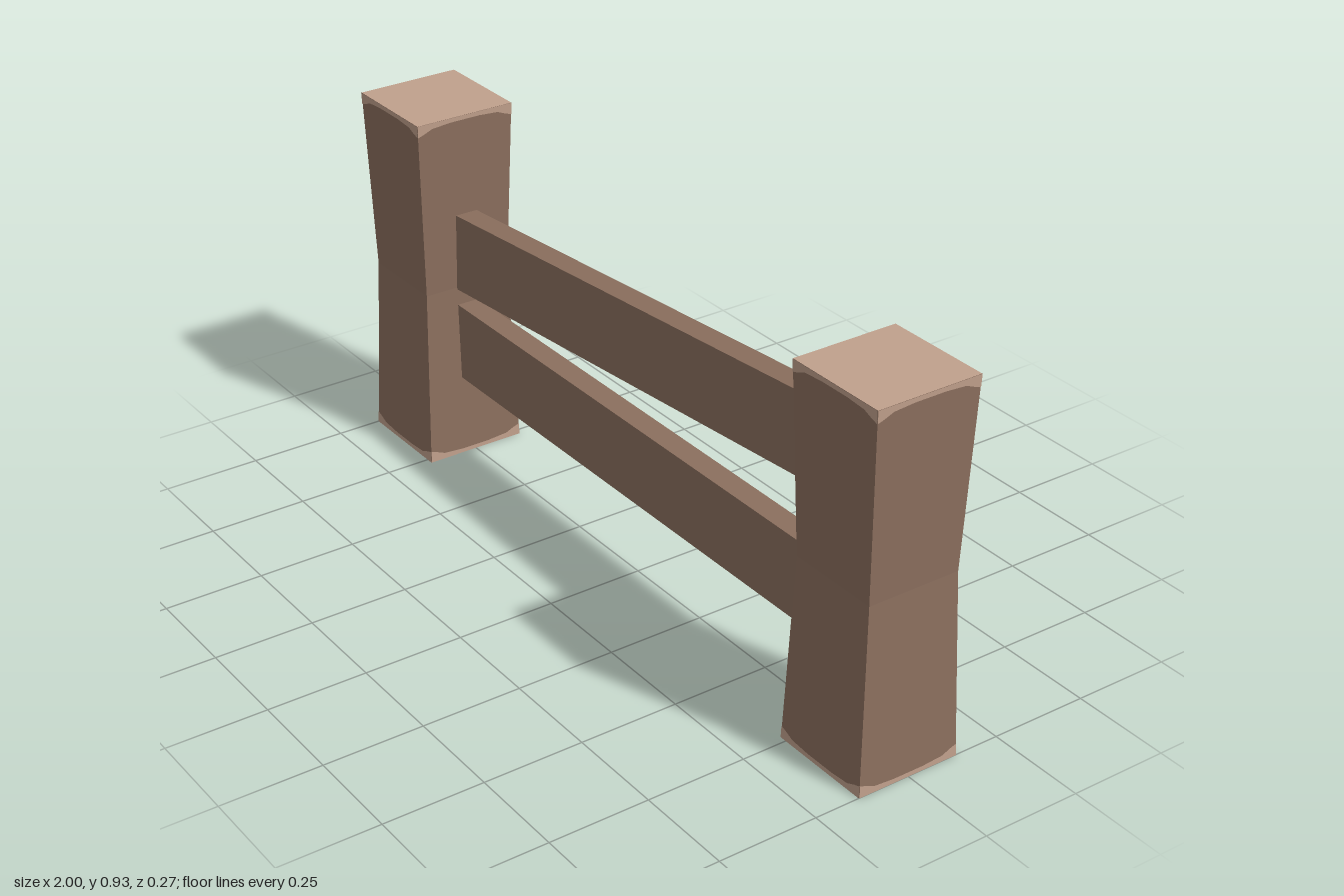
import * as THREE from 'three';

const HEIGHT = 0.93, HALF = 0.134, WAIST = 0.119, POST_X = 0.866;

// half width of a post at height y measured from its middle
const halfAt = (y) => WAIST + (HALF - WAIST) * Math.abs(y) / (HEIGHT / 2);

export function createModel() {
  const bark = new THREE.MeshStandardMaterial({ color: 0x8b6f5e });
  bark.name = 'brown wood';
  const cut = new THREE.MeshStandardMaterial({ color: 0xc0a08c });
  cut.name = 'pale cut wood';

  const model = new THREE.Group();
  model.name = 'fence';

  // post: box pinched at the waist, pale on both ends
  const box = new THREE.BoxGeometry(2, HEIGHT, 2, 1, 2, 1);
  const p = box.attributes.position;
  for (let i = 0; i < p.count; i++) {
    const h = halfAt(p.getY(i));
    p.setXYZ(i, p.getX(i) * h, p.getY(i), p.getZ(i) * h);
  }
  const postGeo = box.toNonIndexed();
  postGeo.computeVertexNormals();

  // worn rim: thin pale strip, deeper at the corners, lying on a post face
  const top = HEIGHT / 2;
  const outline = [[1, 0], [-1, 0], [-1, 0.03], [-0.88, 0.025], [-0.7, 0.015], [-0.3, 0.011],
    [0.3, 0.011], [0.7, 0.015], [0.88, 0.025], [1, 0.03]];
  const rimGeo = new THREE.ShapeGeometry(new THREE.Shape(
    outline.map(([u, d]) => new THREE.Vector2(u * halfAt(top - d), top - d))));
  const r = rimGeo.attributes.position;
  for (let i = 0; i < r.count; i++) r.setZ(i, halfAt(r.getY(i)) + 0.0012);
  rimGeo.computeVertexNormals();

  for (const side of [-1, 1]) {
    const group = new THREE.Group();
    group.name = side < 0 ? 'rightPost' : 'leftPost';
    group.position.set(side * POST_X, HEIGHT / 2, 0);
    const post = new THREE.Mesh(postGeo, [bark, bark, cut, cut, bark, bark]);
    post.name = 'postBody';
    group.add(post);
    for (let k = 0; k < 4; k++) {
      for (const flip of [0, Math.PI]) {
        const rim = new THREE.Mesh(rimGeo, cut);
        rim.name = 'wornRim';
        rim.rotation.set(0, k * Math.PI / 2, flip);
        group.add(rim);
      }
    }
    model.add(group);
  }

  // rails: the lower one level, the upper one slanted
  const railGeo = new THREE.BoxGeometry(1.62, 0.204, 0.06);
  for (const [name, y, tilt] of [['lowerRail', 0.315, 0], ['upperRail', 0.623, 0.081]]) {
    const rail = new THREE.Mesh(railGeo, bark);
    rail.name = name;
    rail.position.y = y;
    rail.rotation.z = tilt;
    model.add(rail);
  }
  return model;
}
